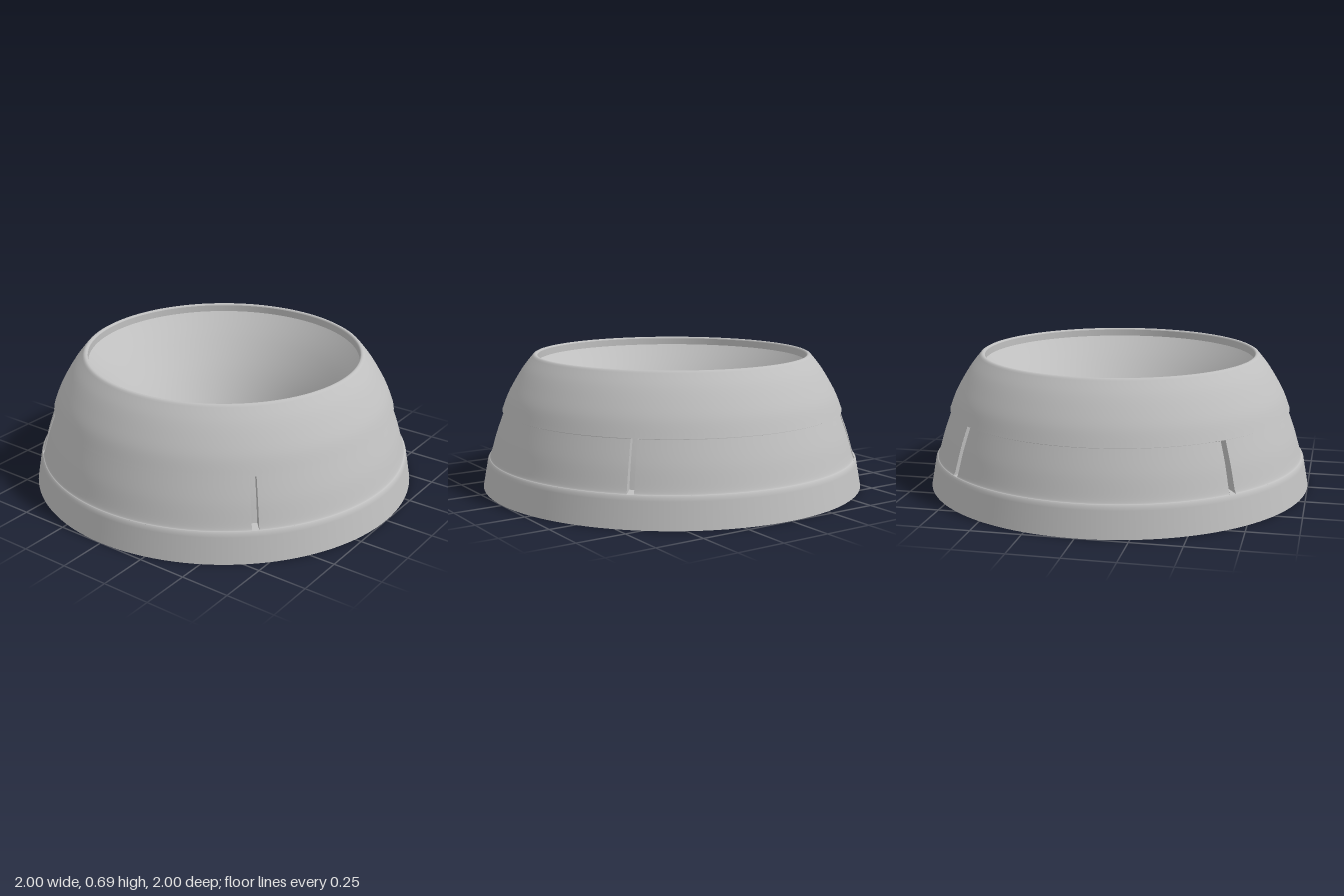
import * as THREE from 'three';

const SEG = 128;
const grey = new THREE.MeshStandardMaterial({ color: 0xc0c0c0, side: THREE.DoubleSide });
grey.name = 'satin grey';

const vecs = (pts) => pts.map(([r, y]) => new THREE.Vector2(r, y));
const smooth = (pts, n = 16) => new THREE.SplineCurve(vecs(pts)).getPoints(n);

function add(parent, name, geometry) {
  const mesh = new THREE.Mesh(geometry, grey);
  mesh.name = name;
  parent.add(mesh);
  return mesh;
}

export function createModel() {
  const model = new THREE.Group();
  model.name = 'ringHousing';

  // One lathe per smooth stretch, so the edges between stretches stay sharp
  const turn = (name, points, start = 0, length = Math.PI * 2, seg = SEG) =>
    add(model, name, new THREE.LatheGeometry(points, seg, start, length));
  const turnSharp = (name, pts) => {
    for (let i = 0; i + 1 < pts.length; i++) turn(name, vecs([pts[i], pts[i + 1]]));
  };

  // Outer skirt, rounding over at its top
  turn('skirt', vecs([[1, 0], [0.976, 0.13], [0.973, 0.146], [0.966, 0.155]]));

  // Lower wall, broken by four recessed slots
  const wall = [[0.966, 0.155], [0.956, 0.172], [0.924, 0.28], [0.882, 0.395]];
  const floor = [[0.912, 0.165], [0.882, 0.28], [0.842, 0.395]];
  const gap = 0.036;
  const sideShape = new THREE.Shape(vecs([...wall, ...floor.slice().reverse()]));
  for (let k = 0; k < 4; k++) {
    const a = Math.PI / 4 + k * Math.PI / 2;
    turn('lowerWall', smooth(wall, 18), a + gap / 2, Math.PI / 2 - gap, 32);
    turn('slotFloor', smooth(floor), a - gap / 2, gap, 2);
    turn('slotSill', vecs([wall[0], floor[0]]), a - gap / 2, gap, 2);
    for (const s of [-1, 1]) {
      const side = add(model, 'slotSide', new THREE.ShapeGeometry(sideShape));
      side.rotation.y = a + s * gap / 2 - Math.PI / 2;
    }
  }

  // Upper wall overhanging the lower one and rolling over into the rim
  turn('upperWallUnderside', vecs([[0.84, 0.395], [0.893, 0.4]]));
  turn('upperWall', [
    ...smooth([[0.893, 0.4], [0.862, 0.479], [0.822, 0.552], [0.777, 0.622], [0.727, 0.684]], 24),
    ...vecs([[0.72, 0.688], [0.712, 0.688], [0.707, 0.685], [0.705, 0.68]]),
  ]);
  turn('rimInside', vecs([[0.705, 0.68], [0.705, 0.645]]));

  // Funnel: flared inside, foot ring, outside
  turn('funnelInside', smooth([[0.705, 0.645], [0.6, 0.52], [0.49, 0.37], [0.4, 0.22], [0.335, 0.09], [0.298, 0]], 32));
  turn('funnelFoot', vecs([[0.298, 0], [0.39, 0]]));
  turn('funnelOutside', smooth([[0.39, 0], [0.395, 0.06], [0.44, 0.2], [0.53, 0.35], [0.62, 0.49], [0.705, 0.6]], 32));

  // Hidden inner face of the shell, with a downward ledge
  turn('upperInside', smooth([[0.705, 0.6], [0.755, 0.5], [0.79, 0.39]]));
  turnSharp('lowerInside', [[0.79, 0.39], [0.8, 0.2], [0.865, 0.2], [0.893, 0.12], [0.9, 0], [1, 0]]);

  // Eight open radial ribs joining funnel and shell
  const rib = new THREE.Shape(vecs([[0.38, 0.005], [0.905, 0.005], [0.898, 0.12], [0.87, 0.205], [0.805, 0.205],
    [0.795, 0.39], [0.71, 0.6], [0.62, 0.49], [0.53, 0.35], [0.44, 0.2], [0.39, 0.06]]));
  rib.holes.push(new THREE.Path(vecs([[0.415, 0.035], [0.872, 0.035], [0.866, 0.11], [0.845, 0.17], [0.772, 0.17],
    [0.762, 0.38], [0.705, 0.54], [0.648, 0.475], [0.558, 0.335], [0.468, 0.19]])));
  const ribGeometry = new THREE.ExtrudeGeometry(rib, { depth: 0.026, bevelEnabled: false });
  ribGeometry.translate(0, 0, -0.013);
  for (let k = 0; k < 8; k++) add(model, 'rib', ribGeometry).rotation.y = k * Math.PI / 4;

  // Three small keys set in the throat of the funnel
  const keyGeometry = new THREE.CapsuleGeometry(0.012, 0.1, 4, 10);
  keyGeometry.rotateZ(-0.45);
  keyGeometry.translate(0.342, 0.1, 0);
  for (let k = 0; k < 3; k++) {
    add(model, 'throatKey', keyGeometry).rotation.y = Math.PI / 4 + k * Math.PI * 2 / 3;
  }

  return model;
}
